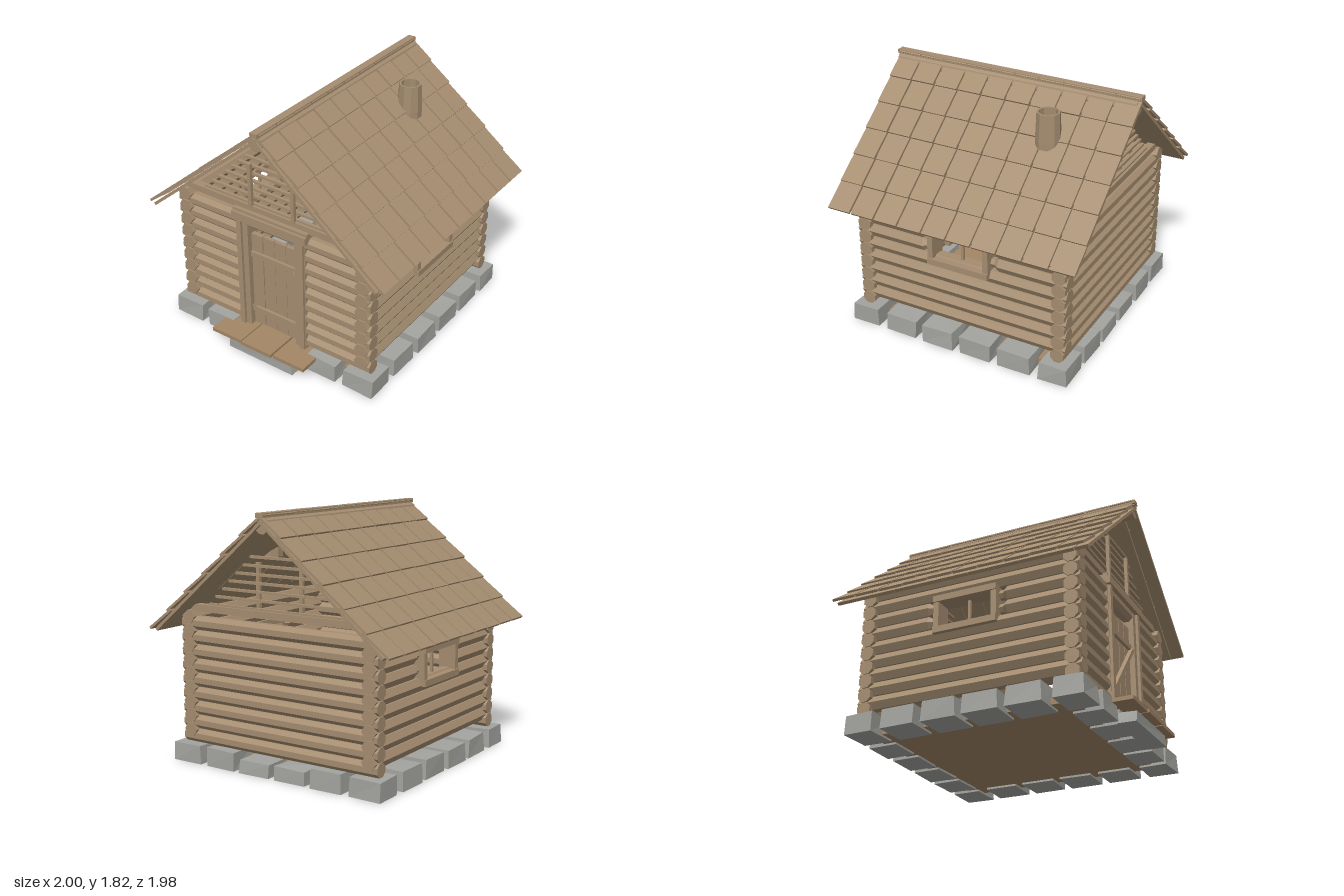
import * as THREE from 'three';

const mat = (name, color) => {
  const m = new THREE.MeshStandardMaterial({ color, flatShading: true });
  m.name = name;
  return m;
};

export function createModel() {
  const model = new THREE.Group();
  model.name = 'logCabin';
  const wood = mat('wood', 0xa58d70);
  const plankWood = mat('plankWood', 0xa38665);
  const stone = mat('stone', 0xa3a39f);

  let seed = 7;
  const rnd = (s) => {
    seed = (seed * 16807) % 2147483647;
    return (seed / 2147483647 - 0.5) * 2 * s;
  };

  const add = (name, geo, m, x = 0, y = 0, z = 0, parent = model) => {
    const mesh = new THREE.Mesh(geo, m);
    mesh.name = name;
    mesh.position.set(x, y, z);
    parent.add(mesh);
    return mesh;
  };
  // box given by its limits on each axis
  const box = (name, m, x0, x1, y0, y1, z0, z1, parent = model) =>
    add(name, new THREE.BoxGeometry(x1 - x0, y1 - y0, z1 - z0), m,
      (x0 + x1) / 2, (y0 + y1) / 2, (z0 + z1) / 2, parent);

  // log along x or z from a to b, optionally hewn narrower at end b
  const log = (name, axis, a, b, u, y, sides, r, taper = false) => {
    const len = Math.abs(b - a), h = len / 2;
    const pts = taper
      ? [[0, -h], [r, -h], [r, h - 0.07], [0.035, h - 0.04], [0.035, h], [0, h]]
      : [[0, -h], [r, -h], [r, h], [0, h]];
    const geo = new THREE.LatheGeometry(pts.map((p) => new THREE.Vector2(...p)), sides);
    if (axis === 'z') geo.rotateY(Math.PI / sides).rotateX(b > a ? Math.PI / 2 : -Math.PI / 2);
    else geo.rotateY(sides === 8 ? Math.PI / 8 : 0).rotateZ(b > a ? -Math.PI / 2 : Math.PI / 2);
    const mid = (a + b) / 2;
    return axis === 'z' ? add(name, geo, wood, u, y, mid) : add(name, geo, wood, mid, y, u);
  };

  // walls: alternating log courses
  const FRONT = 0.74, BACK = -0.79, STEP = 0.1025;
  for (let k = 0; k < 9; k++) {
    const yEnd = 0.185 + k * STEP, ySide = 0.232 + k * STEP;
    log('backLog', 'x', -0.82, 0.82, BACK, yEnd, 8, 0.053);
    if (k === 8) log('frontTopLog', 'x', -0.82, 0.82, FRONT, yEnd, 8, 0.053);
    for (const s of [-1, 1]) {
      if (k < 8) log('frontLog', 'x', s * 0.82, s * 0.25, FRONT, yEnd, 8, 0.053);
      if (k === 5 || k === 6) {
        log('sideLogFront', 'z', 0.8, 0.2, s * 0.755, ySide, 6, 0.055, true);
        log('sideLogBack', 'z', -0.845, -0.255, s * 0.755, ySide, 6, 0.055, true);
      } else log('sideLog', 'z', -0.845, 0.8, s * 0.755, ySide, 6, 0.055);
    }
  }

  // window frames on both sides
  for (const s of [-1, 1]) {
    const win = new THREE.Group();
    win.name = s > 0 ? 'leftWindow' : 'rightWindow';
    model.add(win);
    const bar = (name, y0, y1, z0, z1, out) => {
      const a = s * 0.7, b = s * out;
      box(name, wood, Math.min(a, b), Math.max(a, b), y0, y1, z0, z1, win);
    };
    bar('windowSill', 0.635, 0.68, -0.265, 0.21, 0.84);
    bar('windowHead', 0.865, 0.91, -0.265, 0.21, 0.84);
    bar('windowJamb', 0.68, 0.865, 0.17, 0.21, 0.83);
    bar('windowJamb', 0.68, 0.865, -0.265, -0.225, 0.83);
    box('windowMullion', wood, s * 0.75 - 0.01, s * 0.75 + 0.01, 0.68, 0.865, -0.037, -0.018, win);
  }

  // door with frame
  for (const s of [-1, 1]) {
    box('doorPost', wood, s * 0.245 - 0.045, s * 0.245 + 0.045, 0.1, 1.02, 0.68, 0.79);
    box('doorPostTrim', wood, s * 0.265 - 0.02, s * 0.265 + 0.02, 0.1, 1.02, 0.79, 0.81);
  }
  box('doorLintel', wood, -0.315, 0.315, 1.02, 1.08, 0.66, 0.82);
  box('doorLintelCap', wood, -0.315, 0.315, 1.08, 1.1, 0.66, 0.8);
  for (let i = 0; i < 4; i++) {
    const x = -0.2 + i * 0.1;
    box('doorPlank', wood, x + 0.002, x + 0.098, 0.135, 0.9, 0.72 + rnd(0.003), 0.75 + rnd(0.003));
  }
  box('doorCrossbar', wood, -0.195, 0.195, 0.25, 0.29, 0.74, 0.772);
  box('doorCrossbar', wood, -0.195, 0.195, 0.72, 0.76, 0.74, 0.772);
  const brace = add('doorBrace', new THREE.BoxGeometry(0.57, 0.028, 0.03), wood, 0.005, 0.51, 0.772);
  brace.rotation.z = Math.atan2(0.42, 0.37);

  // open slatted gables
  for (const z of [FRONT, BACK]) {
    box('tieBeam', wood, -0.75, 0.75, 1.09, 1.14, z - 0.03, z + 0.03);
    for (let i = 0; i < 7; i++) {
      const w = 0.6 - i * 0.0615, y = 1.145 + i * 0.0595;
      box('gableSlat', wood, -w, w, y - 0.009, y + 0.009, z - 0.012, z + 0.012);
    }
    for (const s of [-1, 1])
      box('gablePost', wood, s * 0.18 - 0.014, s * 0.18 + 0.014, 1.13, 1.465, z + 0.01, z + 0.035);
  }

  // roof: ridge log, under boards and overlapping shingles
  log('ridgeLog', 'z', -0.96, 0.91, 0, 1.735, 10, 0.06);
  const ANGLE = Math.atan(0.845), LEN = 1.29, ROWS = 6, PITCH = 0.1908;
  for (const s of [-1, 1]) {
    const slope = new THREE.Group();
    slope.name = s > 0 ? 'leftRoof' : 'rightRoof';
    slope.position.y = 1.805;
    slope.rotation.y = s > 0 ? 0 : Math.PI;
    const pitch = new THREE.Group();
    pitch.name = 'roofPitch';
    pitch.rotation.z = -ANGLE;
    slope.add(pitch);
    model.add(slope);
    for (let c = 0; c < 10; c++) {
      const z = s * (-0.897 + c * PITCH);
      if (c < 9) {
        const g = z + s * PITCH / 2;
        box('roofBoard', wood, 0.0, 1.265, -0.05, -0.028, g - 0.094, g + 0.094, pitch);
      }
      for (let r = 0; r < ROWS; r++) {
        const rowLen = LEN / ROWS;
        const sh = add('shingle', new THREE.BoxGeometry(rowLen + 0.035, 0.018, 0.176), wood,
          (r + 0.5) * rowLen - 0.008, -0.008 + rnd(0.002), z, pitch);
        sh.rotation.z = 0.06 + rnd(0.008);
      }
    }
    // boards closing the roof ends
    for (const z of [-0.93, 0.875])
      box('roofEndBoard', wood, 0, 1.265, -0.05, -0.028, s * z - 0.045, s * z + 0.045, pitch);
  }
  box('ridgeCap', wood, -0.03, 0.03, 1.785, 1.815, -0.985, 0.925);

  // hollow chimney
  add('chimney', new THREE.LatheGeometry([[0, 1.47], [0.09, 1.47], [0.09, 1.52], [0.082, 1.72],
    [0.068, 1.72], [0.072, 1.58], [0, 1.58]].map((p) => new THREE.Vector2(...p)), 10),
  wood, 0.32, 0, -0.45);

  // foundation stones: slightly uneven blocks
  const block = (name, x, z, w, h, d) => {
    const geo = new THREE.BoxGeometry(w, h, d);
    const p = geo.attributes.position, moved = {};
    for (let i = 0; i < p.count; i++) {
      const key = [p.getX(i), p.getY(i), p.getZ(i)].join();
      moved[key] ??= [rnd(0.006), p.getY(i) > 0 ? rnd(0.005) : 0, rnd(0.006)];
      const o = moved[key];
      const k = p.getY(i) > 0 ? 0.97 : 1;
      p.setXYZ(i, p.getX(i) * k + o[0], p.getY(i) + o[1], p.getZ(i) * k + o[2]);
    }
    add(name, geo, stone, x, h / 2, z);
  };
  const zs = [0.735, 0.43, 0.125, -0.18, -0.483, -0.785];
  zs.forEach((z, i) => {
    const corner = i === 0 || i === 5;
    for (const s of [-1, 1]) {
      block('foundationStone', s * 0.755, z, 0.25, 0.135, corner ? 0.21 : 0.25);
      if (corner) {
        block('foundationStone', s * 0.45, z, 0.245, 0.135, 0.21);
        block('foundationStone', s * 0.15, z, 0.25, 0.1, 0.21);
      }
    }
  });
  block('stepStone', 0, 0.89, 0.57, 0.075, 0.13);

  // floor and porch planks
  box('floor', plankWood, -0.74, 0.74, 0.015, 0.06, -0.77, 0.72);
  for (const x of [-0.277, -0.005, 0.273])
    box('porchPlank', plankWood, x - 0.132, x + 0.132, 0.102, 0.13, 0.72, 0.985 + rnd(0.008));

  // table and stool inside
  box('tableTop', wood, -0.25, 0.2, 0.365, 0.385, -0.42, -0.13);
  for (const x of [-0.22, 0.17])
    for (const z of [-0.39, -0.2])
      box('tableLeg', wood, x - 0.015, x + 0.015, 0.06, 0.365, z - 0.015, z + 0.015);
  add('stool', new THREE.CylinderGeometry(0.07, 0.05, 0.13, 8), wood, 0, 0.125, -0.27);

  return model;
}
